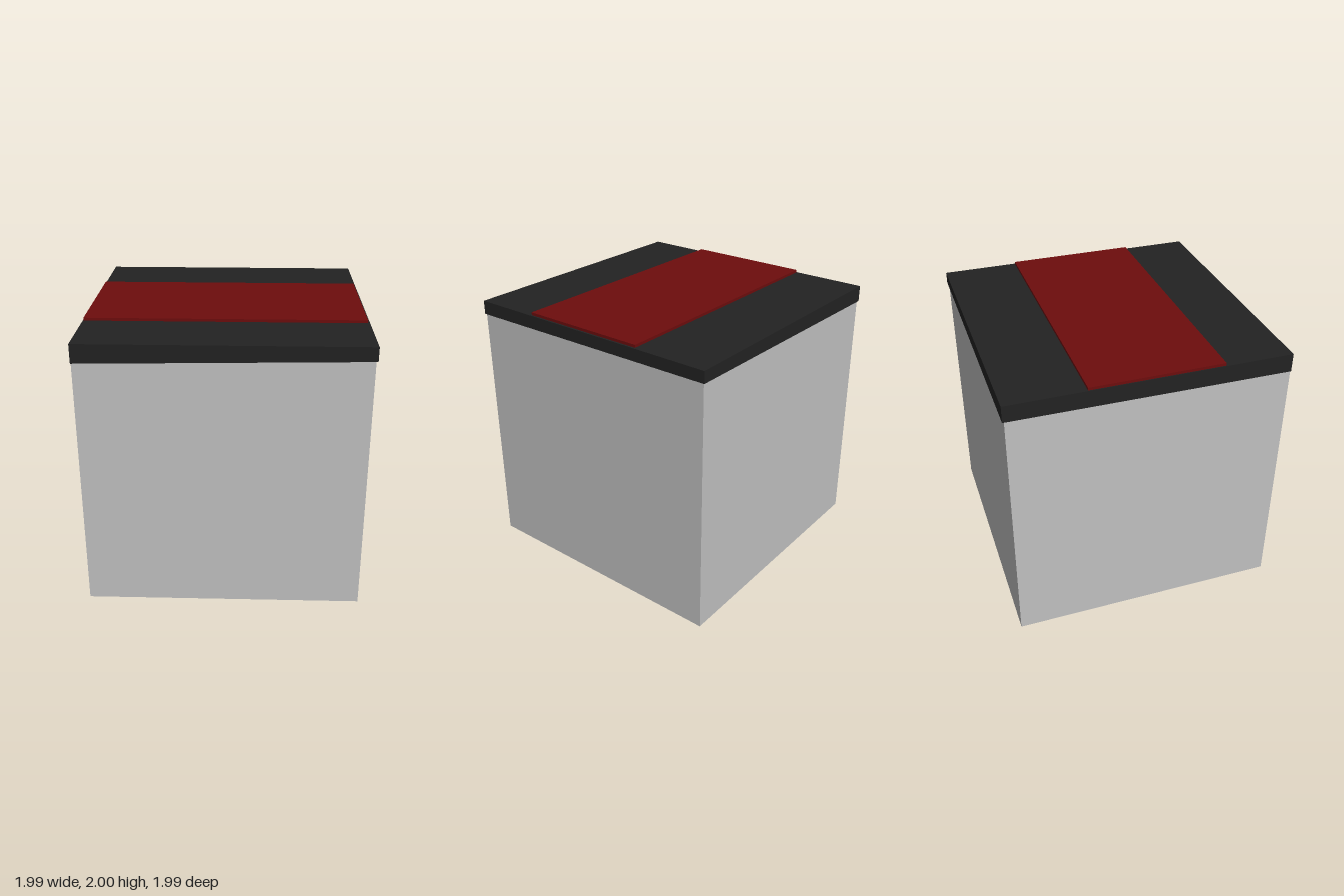
import * as THREE from 'three';

const material = (name, color) => Object.assign(new THREE.MeshStandardMaterial({ color }), { name });

// Box given by its minimum and maximum corners
function block(name, min, max, mat) {
  const size = max.map((v, i) => v - min[i]);
  const geometry = new THREE.BoxGeometry(...size);
  geometry.translate(...max.map((v, i) => (v + min[i]) / 2));
  const mesh = new THREE.Mesh(geometry, mat);
  mesh.name = name;
  return mesh;
}

export function createModel() {
  const grey = material('light grey', 0xc0c0c0);
  const black = material('charcoal', 0x222222);
  const red = material('dark red', 0x6d0d0d);
  const model = new THREE.Group();
  model.name = 'box';

  // Plain body, almost flush with the lid at the front and on the -x side
  const body = block('body', [-0.992, 0, -0.984], [0.984, 1.94, 0.992], grey);

  // Lid with a level top and a slightly tilted underside
  const lid = block('lid', [-0.996, 1.87, -0.996], [0.996, 1.98, 0.996], black);
  const p = lid.geometry.attributes.position;
  for (let i = 0; i < p.count; i++) {
    if (p.getY(i) < 1.9) p.setY(i, 1.87 + 0.0175 * p.getX(i) - 0.0075 * p.getZ(i));
  }
  lid.geometry.computeVertexNormals();

  // Broad raised band across the lid
  const band = block('lidBand', [-0.99, 1.97, -0.44], [0.982, 2, 0.505], red);

  model.add(body, lid, band);
  return model;
}
